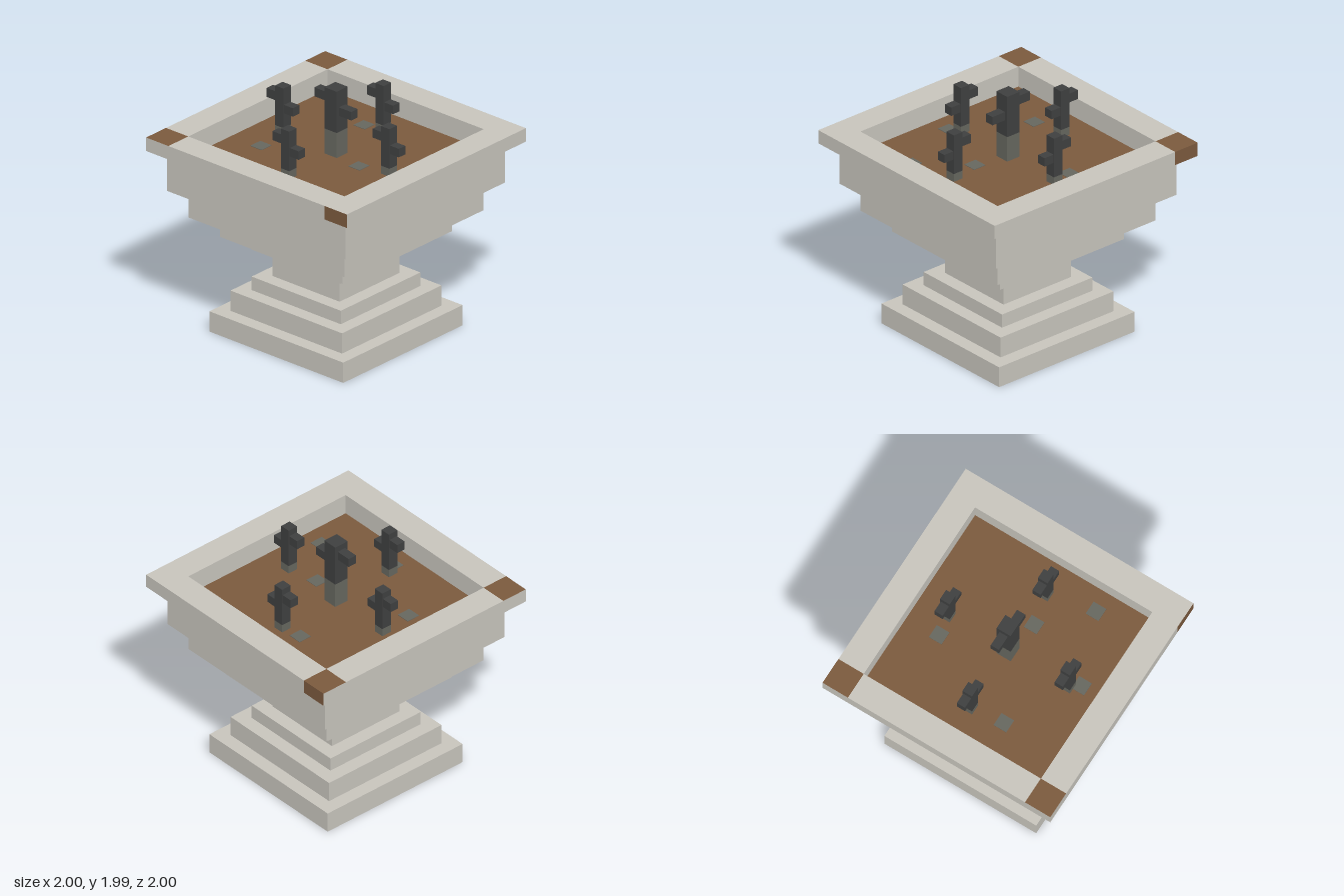
import * as THREE from 'three';

const U = 1 / 18; // block unit of the stepped bowl

const mat = (name, color) => {
  const m = new THREE.MeshStandardMaterial({ color });
  m.name = name;
  return m;
};

export function createModel() {
  const stone = mat('pale stone', 0xc8c5bd);
  const soil = mat('brown soil', 0x7b5a3e);
  const charred = mat('charred wood', 0x3f4040);
  const ash = mat('grey ash', 0x66675f);

  const model = new THREE.Group();
  model.name = 'steppedPlanter';

  // Box given by its limits on each axis
  const box = (parent, name, material, [x0, x1], [y0, y1], [z0, z1]) => {
    const mesh = new THREE.Mesh(new THREE.BoxGeometry(x1 - x0, y1 - y0, z1 - z0), material);
    mesh.position.set((x0 + x1) / 2, (y0 + y1) / 2, (z0 + z1) / 2);
    mesh.name = name;
    parent.add(mesh);
    return mesh;
  };

  // Pedestal and bowl tiers: half width, bottom, top in units
  const tiers = [
    [12, 0, 3], [10, 3, 6], [8, 6, 8], [6, 8, 12], [8, 12, 14], [11, 14, 17], [14, 17, 21],
  ];
  tiers.forEach(([h, y0, y1], i) => {
    const s = [-h * U, h * U];
    box(model, `tier${i + 1}`, stone, s, [y0 * U, y1 * U], s);
  });

  // Hollow upper tier
  const square = (path, h) => path.moveTo(-h, -h).lineTo(h, -h).lineTo(h, h).lineTo(-h, h).closePath();
  const ring = square(new THREE.Shape(), 16 * U);
  ring.holes.push(square(new THREE.Path(), 14 * U));
  const bowlGeometry = new THREE.ExtrudeGeometry(ring, { depth: 6 * U, bevelEnabled: false });
  bowlGeometry.rotateX(-Math.PI / 2);
  const bowl = new THREE.Mesh(bowlGeometry, stone);
  bowl.position.y = 21 * U;
  bowl.name = 'bowlWall';
  model.add(bowl);

  // Rim bars, with corner blocks that carry brown faces
  const rim = new THREE.Group();
  rim.name = 'rim';
  model.add(rim);
  const rimY = [27 * U, 29 * U];
  const inner = [-14 * U, 14 * U];
  const low = [-1, -14 * U];
  const high = [14 * U, 1];
  box(rim, 'rimFront', stone, inner, rimY, high);
  box(rim, 'rimBack', stone, inner, rimY, low);
  box(rim, 'rimLeft', stone, high, rimY, inner);
  box(rim, 'rimRight', stone, low, rimY, inner);
  // Face order: +x, -x, +y, -y, +z, -z
  const faces = (...brown) => [0, 1, 2, 3, 4, 5].map((i) => (brown.includes(i) ? soil : stone));
  box(rim, 'cornerFrontLeft', faces(4), high, rimY, high);
  box(rim, 'cornerFrontRight', faces(2, 3), low, rimY, high);
  box(rim, 'cornerBackLeft', stone, high, rimY, low);
  box(rim, 'cornerBackRight', faces(2, 3, 5), low, rimY, low);

  // Soil bed and flat ash patches
  const soilY = 26 * U;
  box(model, 'soilBed', soil, inner, [21 * U, soilY], inner);
  [[-3, -9], [5, 1], [-9, 5], [11, 7], [1, 11]].forEach(([x, z]) => {
    box(model, 'ashPatch', ash, [(x - 1) * U, (x + 1) * U], [soilY, soilY + 0.004], [(z - 1) * U, (z + 1) * U]);
  });

  // Stump: ashen foot, charred trunk and two offset side branches
  const stump = (name, x, z, half, ashTop, top, reach, leftArm, rightArm) => {
    const g = new THREE.Group();
    g.name = name;
    g.position.set(x, 0, z);
    const s = [-half, half];
    const d = [-0.036, 0.036];
    box(g, 'foot', ash, s, [soilY, ashTop], s);
    box(g, 'trunk', charred, s, [ashTop, top], s);
    box(g, 'upperBranch', charred, [-reach, -half], leftArm, d);
    box(g, 'lowerBranch', charred, [half, reach], rightArm, d);
    model.add(g);
  };
  stump('centreStump', 0, 0, 0.061, 1.65, 1.99, 0.184, [1.867, 1.94], [1.783, 1.853]);
  [[-0.528, 0], [0.528, 0], [0, -0.528], [0, 0.528]].forEach(([x, z]) => {
    stump('smallStump', x, z, 0.042, 1.51, 1.836, 0.13, [1.711, 1.785], [1.63, 1.7]);
  });

  return model;
}
